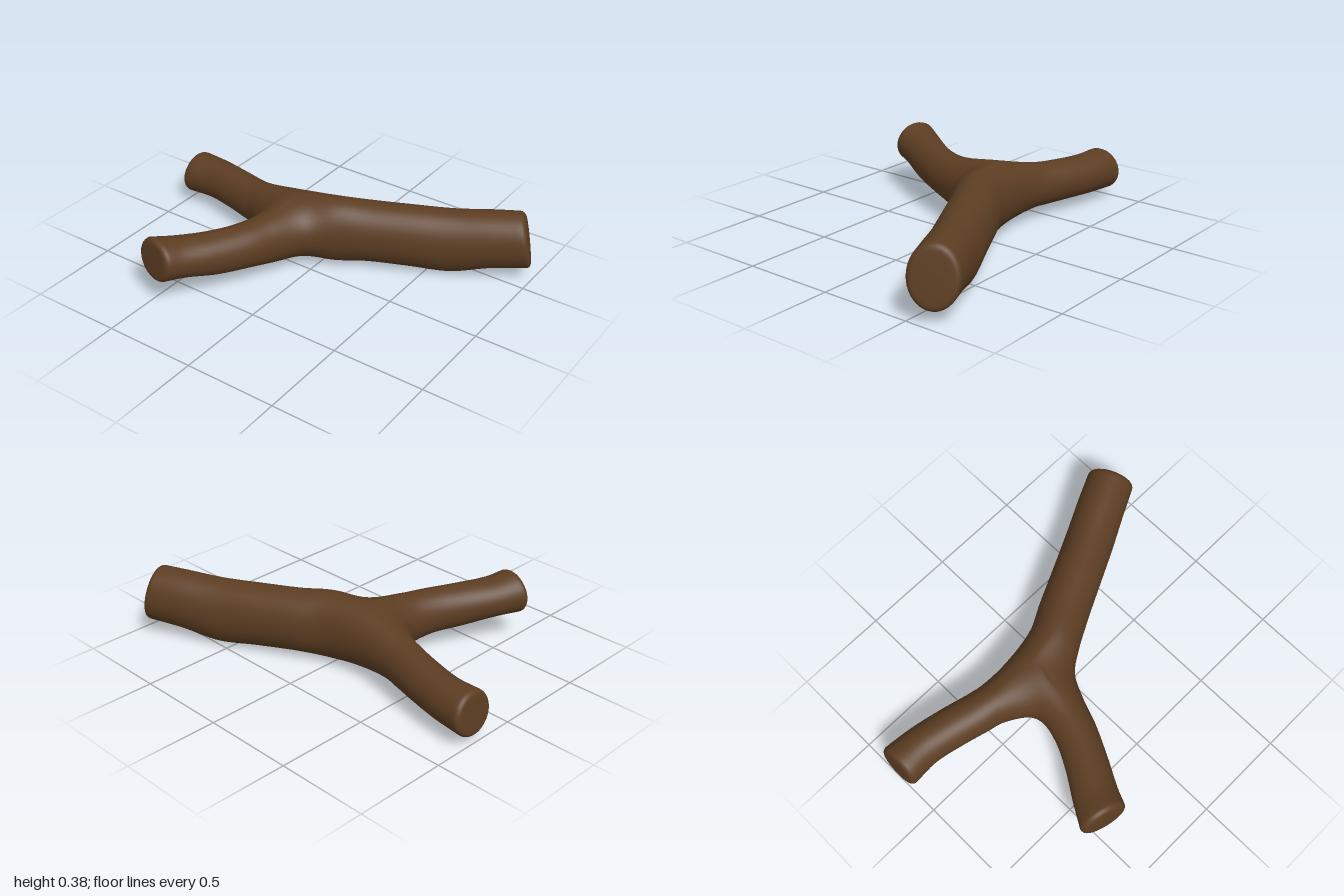
import * as THREE from 'three';
import { mergeVertices } from 'three/addons/utils/BufferGeometryUtils.js';

const N = 40;      // points around each limb
const STEPS = 40;  // rings along each limb
const V = (x, y, z) => new THREE.Vector3(x, y, z);

// Limbs in order around the fork. Stations run from the cut end to the fork:
// [x, z, centre height, half width, half height]
const limbs = [
  { // thick trunk
    dir: V(0.894, 0, -0.447), tilt: 0.03, stations: [
      [0.925, -0.605, 0.222, 0.128, 0.155],
      [0.78, -0.535, 0.208, 0.130, 0.163],
      [0.6, -0.445, 0.181, 0.132, 0.178],
      [0.4, -0.345, 0.188, 0.133, 0.174],
      [0.2, -0.245, 0.195, 0.135, 0.173],
      [0.05, -0.165, 0.197, 0.138, 0.184]],
  },
  { // front fork
    dir: V(-0.25, 0, 0.968), tilt: 0.01, stations: [
      [-0.455, 0.68, 0.26, 0.128, 0.115],
      [-0.4, 0.58, 0.243, 0.118, 0.107],
      [-0.31, 0.43, 0.22, 0.112, 0.115],
      [-0.23, 0.27, 0.21, 0.112, 0.122],
      [-0.19, 0.14, 0.2, 0.122, 0.138]],
  },
  { // left fork
    dir: V(-1, 0, 0), tilt: 0.012, stations: [
      [-0.968, -0.252, 0.16, 0.12, 0.117],
      [-0.82, -0.245, 0.165, 0.109, 0.113],
      [-0.65, -0.21, 0.17, 0.108, 0.114],
      [-0.5, -0.17, 0.175, 0.108, 0.12],
      [-0.42, -0.15, 0.182, 0.11, 0.128]],
  },
];

// Fork: top and bottom points, and the crotch between each limb and the next
const forkTop = V(-0.15, 0.37, -0.1);
const forkBottom = V(-0.15, 0.02, -0.1);
const forkCentre = V(-0.15, 0.195, -0.1);
const crotches = [V(0.0, 0.195, 0.04), V(-0.33, 0.195, 0.04), V(-0.24, 0.195, -0.25)];

const angle = (k) => (k / N) * Math.PI * 2;

// Elliptical cross-sections of one limb
function sections({ dir, tilt, stations }) {
  return stations.map(([x, z, y, w, h], i) => {
    const next = stations[Math.min(i + 1, stations.length - 1)];
    const prev = stations[Math.max(i - 1, 0)];
    const d = i === 0 ? dir : V(prev[0] - next[0], 0, prev[1] - next[1]).normalize();
    const side = V(-d.z, 0, d.x);
    return Array.from({ length: N }, (_, k) => {
      const c = Math.cos(angle(k));
      return V(x, y + h * c, z)
        .addScaledVector(side, w * Math.sin(angle(k)))
        .addScaledVector(d, i === 0 ? -tilt * c : 0);
    });
  });
}

// Closing ring of a limb, made of the two seams it shares with its neighbours
function seamPoint(limb, k) {
  const s = Math.sin(angle(k)), c = Math.cos(angle(k));
  const crotch = crotches[s >= 0 ? limb : (limb + 2) % 3];
  const pole = c >= 0 ? forkTop : forkBottom;
  return forkCentre.clone()
    .addScaledVector(crotch.clone().sub(forkCentre), Math.abs(s))
    .addScaledVector(pole.clone().sub(forkCentre), Math.abs(c));
}

// Cut end: rounded rim, then a flat face
function capRings(rim, dir) {
  const centre = rim.reduce((sum, p) => sum.add(p), V(0, 0, 0)).divideScalar(N);
  const ring = (scale, push) => rim.map((p) =>
    centre.clone().lerp(p, scale).addScaledVector(dir, push));
  const rings = [ring(0, 0.03), ring(0.4, 0.03), ring(0.7, 0.029)];
  for (let i = 5; i >= 1; i--) {
    const a = (i / 5) * Math.PI / 2;
    rings.push(ring(1 - 0.2 * (1 - Math.cos(a)), 0.028 * Math.sin(a)));
  }
  return rings;
}

export function createModel() {
  const group = new THREE.Group();
  const bark = new THREE.MeshStandardMaterial({ color: 0x5c3d22 });
  bark.name = 'brown bark';

  const rings = limbs.map(sections);
  const positions = [], indices = [];

  limbs.forEach((limb, i) => {
    // each lengthwise line flows into the neighbouring limb for a smooth fork
    const inner = (j, k) => rings[j % 3].at(-1)[(N - k) % N];
    const lines = Array.from({ length: N }, (_, k) => {
      let beyond = inner(k < N / 2 ? i + 1 : i + 2, k);
      if (k % (N / 2) === 0) beyond = inner(i + 1, k).clone().lerp(inner(i + 2, k), 0.5);
      const pts = [...rings[i].map((r) => r[k]), seamPoint(i, k), beyond];
      const curve = new THREE.CatmullRomCurve3(pts, false, 'centripetal');
      const end = (pts.length - 2) / (pts.length - 1);
      return Array.from({ length: STEPS + 1 }, (_, s) =>
        s === STEPS ? pts.at(-2) : curve.getPoint((s / STEPS) * end));
    });
    const skin = Array.from({ length: STEPS + 1 }, (_, s) => lines.map((l) => l[s]));
    const all = [...capRings(rings[i][0], limb.dir), ...skin];

    const base = positions.length / 3;
    all.forEach((r) => r.forEach((p) => positions.push(p.x, p.y, p.z)));
    for (let j = 0; j < all.length - 1; j++) {
      for (let k = 0; k < N; k++) {
        const a = base + j * N + k, b = base + j * N + (k + 1) % N;
        if (j > 0) indices.push(a, a + N, b);
        indices.push(b, a + N, b + N);
      }
    }
  });

  // one welded skin, so the limbs blend without seams
  let geometry = new THREE.BufferGeometry();
  geometry.setAttribute('position', new THREE.Float32BufferAttribute(positions, 3));
  geometry.setIndex(indices);
  geometry = mergeVertices(geometry, 1e-4);
  geometry.computeVertexNormals();

  const mesh = new THREE.Mesh(geometry, bark);
  mesh.name = 'forkedLog';
  group.add(mesh);
  group.name = 'forkedBranch';
  return group;
}
